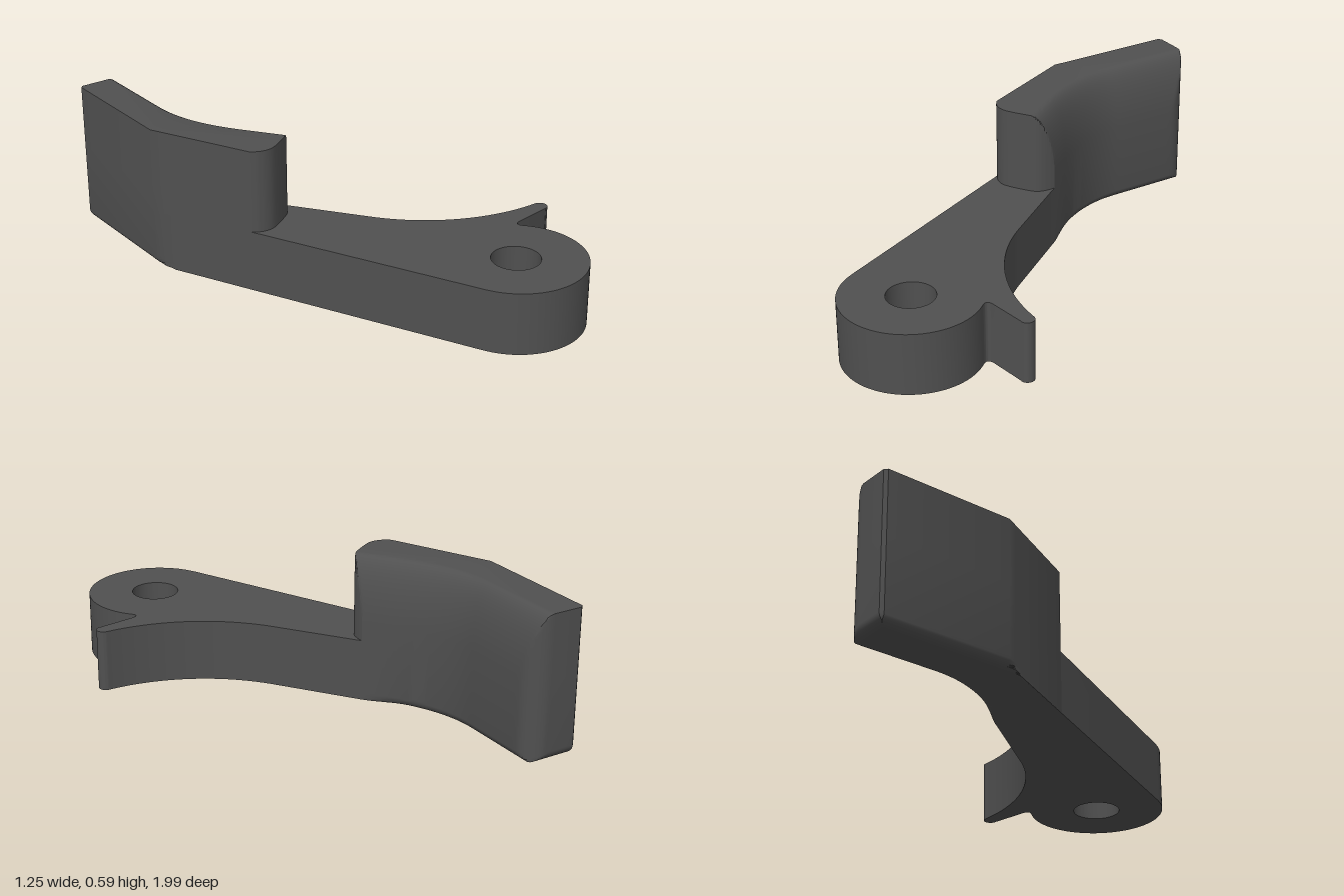
import * as THREE from 'three';
import { toCreasedNormals } from 'three/addons/utils/BufferGeometryUtils.js';

const V = (x, z) => new THREE.Vector2(x, z); // plan points: x, z
const PLATE_H = 0.253, WALL_H = 0.59;
const JOIN = V(-0.217, -0.185); // where the grip wall meets the plate on the inner side
const INNER_N = V(0.81, -0.586); // outward normal of the straight inner side

// Flat lever arm with pivot eye and spring fin
function plateGeometry() {
  const s = new THREE.Shape();
  s.moveTo(-0.441, -0.05);
  s.lineTo(-0.024, 0.838);
  s.absarc(0.225, 0.72, 0.275, 2.7, -0.734, true); // eye
  s.quadraticCurveTo(0.405, 0.508, 0.44, 0.5); // notch
  s.lineTo(0.6, 0.476);
  s.absarc(0.595, 0.449, 0.029, 1.4, -Math.PI / 2, true); // fin tip
  s.absarc(0.592, -0.306, 0.726, Math.PI / 2, 2.514, false); // sweep into the arm
  s.lineTo(JOIN.x, JOIN.y);
  const hole = new THREE.Path();
  hole.absarc(0.225, 0.72, 0.095, 0, Math.PI * 2, false);
  s.holes.push(hole);
  const g = new THREE.ExtrudeGeometry(s, { depth: PLATE_H, bevelEnabled: false, curveSegments: 32 });
  return toCreasedNormals(g.rotateX(Math.PI / 2).translate(0, PLATE_H, 0), 0.5);
}

// Plan outline of the wall at one level: inner side set in by top and low, outer foot by foot
function wallRing(top, low, foot) {
  const pts = [V(-0.63, -0.45), V(-0.611, -0.41), V(-0.592, -0.37)];
  // rounded front end, cut back by the inset inner plane
  const cap = new THREE.SplineCurve([
    V(-0.441, -0.05), V(-0.41, -0.03), V(-0.37, -0.024), V(-0.33, -0.037),
    V(-0.255, -0.085), V(-0.227, -0.113), V(-0.217, -0.15), JOIN]);
  for (const p of cap.getPoints(28).slice(0, -1)) {
    const over = p.clone().sub(JOIN).dot(INNER_N) + top;
    if (over > 0) p.addScaledVector(INNER_N, -over);
    pts.push(p);
  }
  // concave inner side
  const inner = new THREE.CurvePath();
  inner.add(new THREE.LineCurve(JOIN, V(-0.287, -0.282)));
  inner.add(new THREE.QuadraticBezierCurve(V(-0.287, -0.282), V(-0.415, -0.459), V(-0.415, -0.63)));
  inner.add(new THREE.LineCurve(V(-0.415, -0.63), V(-0.415, -0.915)));
  for (let i = 0; i <= 36; i++) {
    const p = inner.getPointAt(i / 36), t = inner.getTangentAt(i / 36);
    const d = top + low * THREE.MathUtils.smoothstep(-p.y, 0.185, 0.35);
    pts.push(p.addScaledVector(V(-t.y, t.x), -d));
  }
  // rounded back corner
  for (let i = 1; i <= 10; i++) {
    const a = (i / 10) * Math.PI / 2;
    pts.push(V(Math.min(-0.5 + 0.085 * Math.cos(a), -0.415 - top - low), -0.915 - 0.085 * Math.sin(a)));
  }
  pts.push(V(-0.618, -1), V(-0.63, -0.988));
  for (const p of pts) {
    p.x = Math.max(p.x, -0.63 + foot);
    p.y = Math.max(p.y, -1 + foot);
  }
  return pts;
}

// Upright grip wall lofted through its levels, with rounded foot and inner top edge
function wallGeometry() {
  const levels = [];
  const round = (r, t) => r * (1 - Math.sqrt(Math.max(0, 1 - t * t)));
  for (let i = 0; i <= 8; i++) {
    const t = Math.cos((i / 8) * Math.PI / 2); // 1 at the ground, 0 above the foot
    const u = Math.sin((i / 8) * Math.PI / 2);
    levels.push({ y: 0.04 * (1 - t), ring: wallRing(0, 0.03 * (1 - u), 0.04 * (1 - u)) });
  }
  for (let i = 0; i <= 14; i++) {
    const t = Math.sin((i / 14) * Math.PI / 2);
    levels.push({ y: 0.33 + (WALL_H - 0.33) * t, ring: wallRing(round(0.08, t), 0, 0) });
  }
  const pos = [], idx = [], n = levels[0].ring.length;
  for (const { y, ring } of levels) for (const p of ring) pos.push(p.x, y, p.y);
  for (let k = 0; k < levels.length - 1; k++) {
    for (let i = 0; i < n; i++) {
      const a = k * n + i, b = k * n + (i + 1) % n;
      idx.push(a, b, b + n, a, b + n, a + n);
    }
  }
  const fill = (k, flip) => {
    const contour = levels[k].ring.map((p) => V(p.x, -p.y));
    for (const [a, b, c] of THREE.ShapeUtils.triangulateShape(contour, [])) {
      idx.push(k * n + a, k * n + (flip ? c : b), k * n + (flip ? b : c));
    }
  };
  fill(0, true);
  fill(levels.length - 1, false);
  const g = new THREE.BufferGeometry();
  g.setAttribute('position', new THREE.Float32BufferAttribute(pos, 3));
  g.setIndex(idx);
  return toCreasedNormals(g, 0.5);
}

export function createModel() {
  const group = new THREE.Group();
  group.name = 'lever';
  const material = new THREE.MeshStandardMaterial({ color: 0x505050 });
  const add = (name, geometry) => {
    const mesh = new THREE.Mesh(geometry, material);
    mesh.name = name;
    group.add(mesh);
  };
  add('pivotArm', plateGeometry());
  add('gripWall', wallGeometry());
  return group;
}
